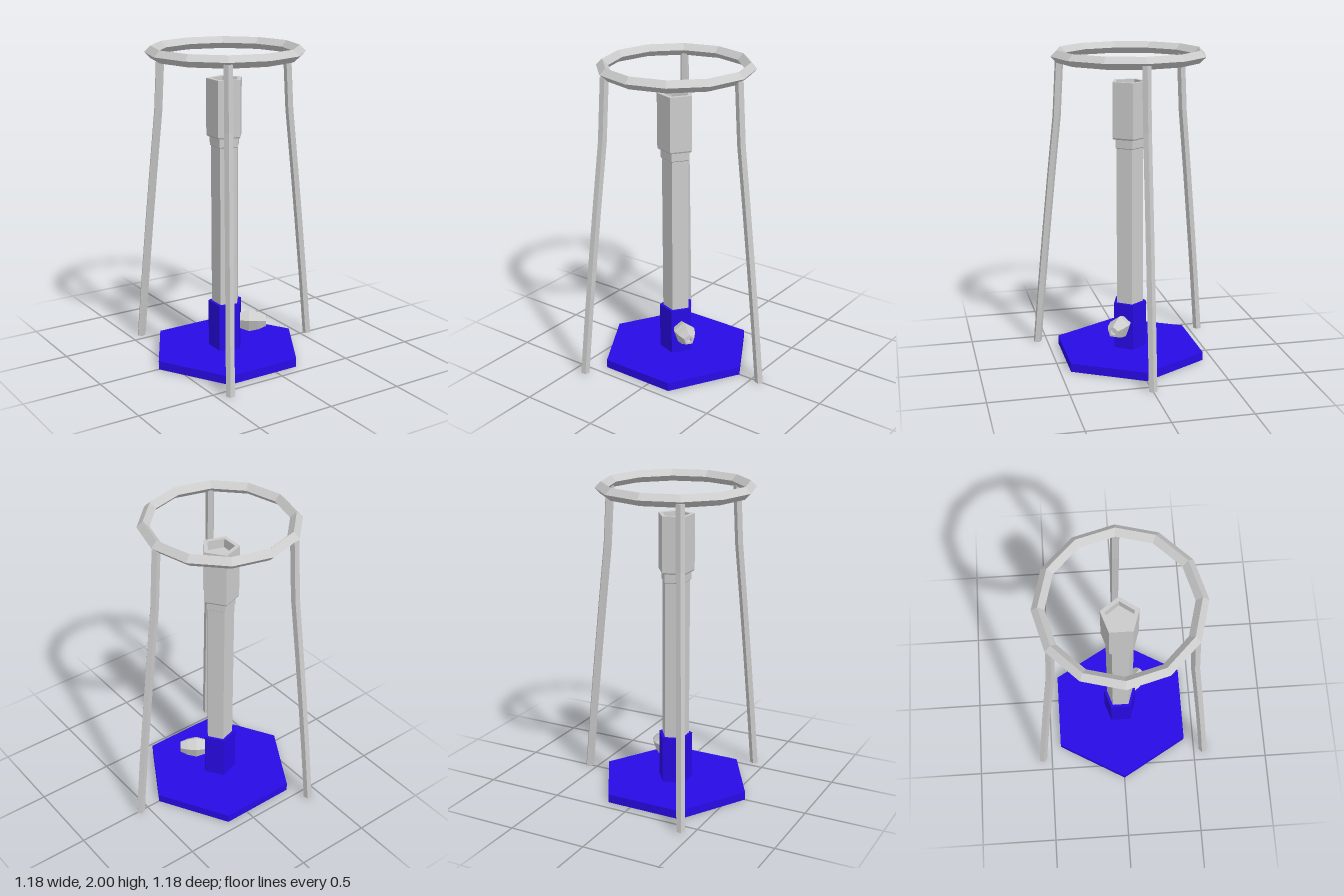
import * as THREE from 'three';

const grey = new THREE.MeshStandardMaterial({ color: 0xcccccc, flatShading: true });
const blue = new THREE.MeshStandardMaterial({ color: 0x280ae6, flatShading: true });

// Faceted solid of revolution; profile is [radius, height], one corner faces +x
function turned(profile, sides) {
  const points = profile.map(([r, y]) => new THREE.Vector2(r, y));
  return new THREE.LatheGeometry(points, sides).rotateY(Math.PI / 2);
}

export function createModel() {
  const model = new THREE.Group();
  model.name = 'burnerWithTripod';
  const stand = new THREE.Group();
  stand.name = 'burnerAndStand';
  stand.position.x = -0.094;
  model.add(stand);

  const add = (name, geometry, material = grey) => {
    const mesh = new THREE.Mesh(geometry, material);
    mesh.name = name;
    stand.add(mesh);
    return mesh;
  };

  // Base plate and socket
  add('basePlate', turned([[0, 0], [0.5, 0], [0.5, 0.055], [0, 0.055]], 6), blue);
  add('socket', turned([[0, 0.05], [0.113, 0.05], [0.113, 0.36], [0, 0.36]], 5), blue);

  // Barrel with collar and recessed head
  add('barrel', turned([
    [0.091, 0.35], [0.091, 1.38], [0.098, 1.385], [0.098, 1.44], [0.113, 1.44],
    [0.119, 1.45], [0.119, 1.8], [0.09, 1.8], [0.09, 1.74], [0, 1.74],
  ], 5));

  // Gas inlet: bulging nozzle with a small bore, ridge upward
  const inlet = turned([
    [0.05, 0.08], [0.072, 0.15], [0.059, 0.21], [0.036, 0.259],
    [0.02, 0.259], [0.018, 0.235], [0, 0.235],
  ], 5);
  inlet.rotateY(Math.PI).rotateZ(-Math.PI / 2).rotateY(-Math.PI / 5);
  add('gasInlet', inlet).position.y = 0.226;

  // Ring at the top of the tripod
  const ring = new THREE.TorusGeometry(0.452, 0.038, 4, 12).rotateX(Math.PI / 2);
  add('tripodRing', ring).position.y = 1.962;

  // Three splayed legs, each bent by moving its cross-sections outward
  const legHeight = 1.95;
  const reach = [0.651, 0.613, 0.572, 0.529, 0.484, 0.46];
  const leg = new THREE.CylinderGeometry(0.028, 0.028, legHeight, 5, 5);
  leg.rotateY(Math.PI / 2).translate(0, legHeight / 2, 0);
  const pos = leg.attributes.position;
  for (let i = 0; i < pos.count; i++) {
    const row = Math.round((pos.getY(i) / legHeight) * 5);
    pos.setX(i, pos.getX(i) + reach[row]);
  }
  leg.computeVertexNormals();
  for (let i = 0; i < 3; i++) {
    add('tripodLeg' + (i + 1), leg).rotation.y = (i * 2 * Math.PI) / 3;
  }

  return model;
}
